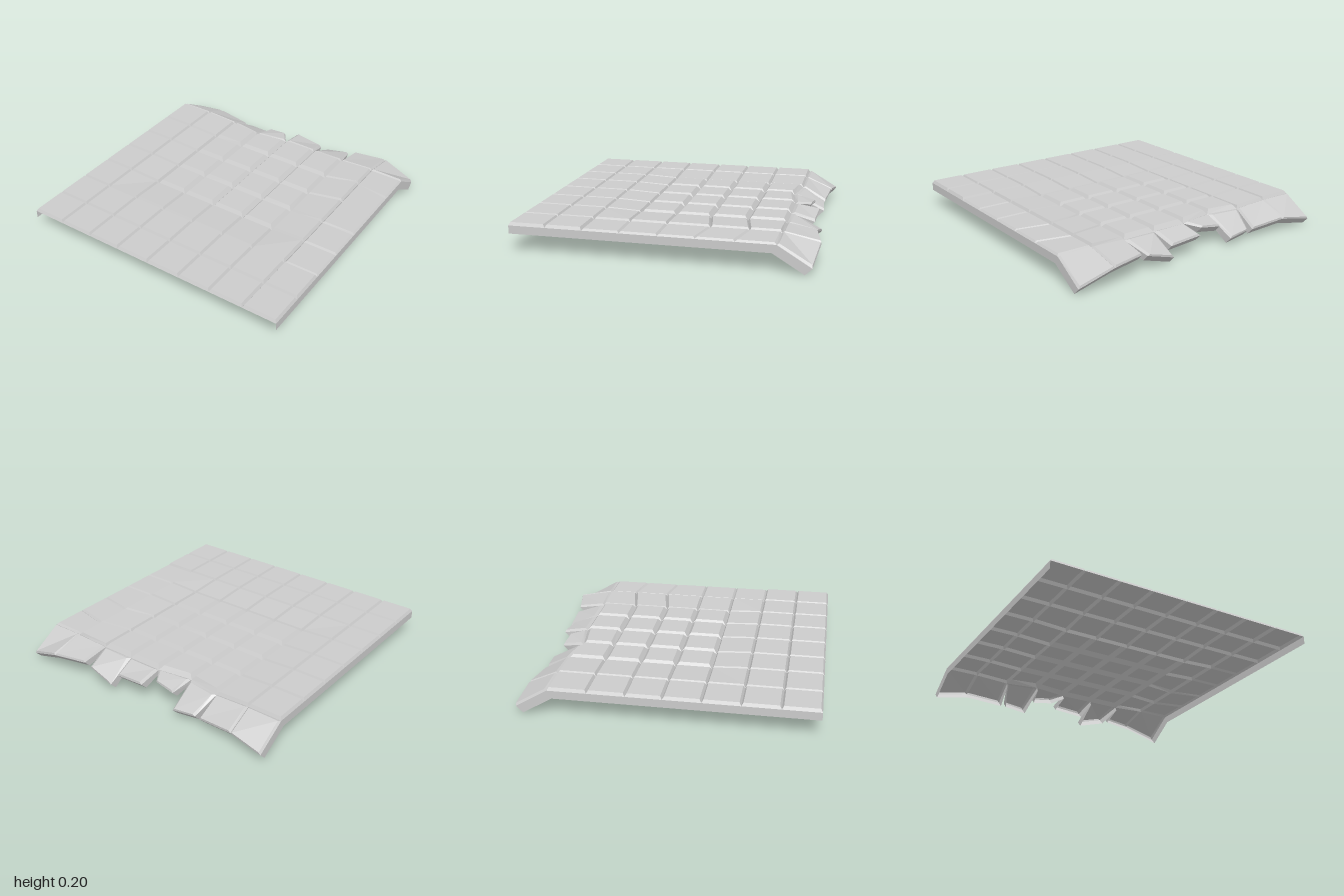
import * as THREE from 'three';

const V = (x, y, z) => new THREE.Vector3(x, y, z);
const material = new THREE.MeshStandardMaterial({ color: 0xcccccc, side: THREE.DoubleSide });

// Grid lines of the paving, and the ragged back edge of every column:
// [left x, y, z, right x, y, z]
const xs = [-0.985, -0.74, -0.49, -0.25, 0, 0.25, 0.49, 0.74, 0.985];
const zs = [1, 0.75, 0.5, 0.25, 0, -0.24, -0.49, -0.75];
const backEdge = [
  [-0.985, 0.05, -0.965, -0.745, 0.095, -0.945],
  [-0.745, 0.095, -0.945, -0.48, 0.07, -0.92],
  [-0.44, 0.07, -0.915, -0.27, 0.055, -0.93],
  [-0.22, 0.135, -0.87, -0.07, 0.155, -0.855],
  [0, 0.14, -0.925, 0.23, 0.115, -0.91],
  [0.25, 0.06, -0.96, 0.45, 0.115, -0.945],
  [0.5, 0.135, -0.95, 0.74, 0.13, -1],
  [0.74, 0.13, -1, 0.985, 0.045, -0.97],
];
const LIP = V(0, -0.045, 0.045);

// Flat-shaded mesh from a list of quads, corners counter-clockwise
function quadMesh(name, quads) {
  const pts = quads.flatMap(([a, b, c, d]) => [a, b, c, a, c, d]);
  const geo = new THREE.BufferGeometry().setFromPoints(pts);
  geo.computeVertexNormals();
  const mesh = new THREE.Mesh(geo, material);
  mesh.name = name;
  return mesh;
}

// Shared groove corner; a few lines are pushed out of square
function node(i, j) {
  let z = zs[j];
  if (i === 7 && j === 6) z -= 0.055;
  if (i === 7 && j === 5) z -= 0.05;
  if (i === 3 && j === 7) z += 0.04;
  const inner = i >= 2 && i <= 6 && j >= 3 && j <= 7;
  return V(xs[i], inner ? 0.168 : 0.18, z);
}

// Raised panel with four bevels around it: corners are front-left,
// front-right, back-right, back-left
function bevelledTile(corners, bevel, rise, backBevel = bevel) {
  const [a, b, c, d] = corners;
  const u = bevel / a.distanceTo(b);
  const v = bevel / a.distanceTo(d), w = backBevel / a.distanceTo(d);
  const normal = b.clone().sub(a).cross(d.clone().sub(a)).normalize();
  const at = (s, t) => a.clone().lerp(b, s).lerp(d.clone().lerp(c, s), t).addScaledVector(normal, rise);
  const top = [at(u, v), at(1 - u, v), at(1 - u, 1 - w), at(u, 1 - w)];
  const quads = [top];
  for (let k = 0; k < 4; k++) {
    const n = (k + 1) % 4;
    quads.push([corners[k], corners[n], top[n], top[k]]);
  }
  return quads;
}

export function createModel() {
  const model = new THREE.Group();
  model.name = 'pavedSlab';

  // Level paving
  const paving = new THREE.Group();
  paving.name = 'paving';
  for (let j = 0; j < 7; j++) {
    for (let i = 0; i < 8; i++) {
      const corners = [node(i, j), node(i + 1, j), node(i + 1, j + 1), node(i, j + 1)];
      const worn = i >= 2 && i <= 5 && j >= 3;
      const low = i === 7 && j > 1;
      const rise = worn ? 0.03 : low ? 0.013 : 0.021;
      paving.add(quadMesh('pavingTile', bevelledTile(corners, worn ? 0.024 : 0.012, rise)));
    }
  }
  model.add(paving);

  // Broken back row, bent downwards, with a lip along the free edges
  const broken = new THREE.Group();
  broken.name = 'brokenEdge';
  backEdge.forEach(([x0, y0, z0, x1, y1, z1], i) => {
    const a = node(i, 7), b = node(i + 1, 7), c = V(x1, y1, z1), d = V(x0, y0, z0);
    const loose = i >= 2 && i <= 5;
    const quads = bevelledTile([a, b, c, d], loose ? 0.02 : 0.012, 0.014, 0.006);
    const cLow = c.clone().add(LIP), dLow = d.clone().add(LIP);
    quads.push([d, c, cLow, dLow]);
    const hinge = V(0, -0.03, 0.015);
    if (loose || i === 6) quads.push([d, dLow, a.clone().add(hinge), a]);
    if (loose || i === 1) quads.push([b, b.clone().add(hinge), cLow, c]);
    broken.add(quadMesh('brokenTile', quads));
  });
  model.add(broken);

  // Thin walls down both sides, following the bend at the back
  for (const [name, i] of [['rightWall', 0], ['leftWall', 8]]) {
    const e = i ? backEdge[7].slice(3) : backEdge[0].slice(0, 3);
    const end = V(...e);
    const tops = zs.map((z, j) => node(i, j)).concat(end);
    const feet = zs.map((z, j) => V(xs[i], 0.125, j === 7 ? -0.72 : z)).concat(end.clone().add(LIP));
    const quads = [];
    for (let k = 0; k < 8; k++) {
      const q = [tops[k], feet[k], feet[k + 1], tops[k + 1]];
      quads.push(i ? q : q.reverse());
    }
    model.add(quadMesh(name, quads));
  }
  return model;
}
